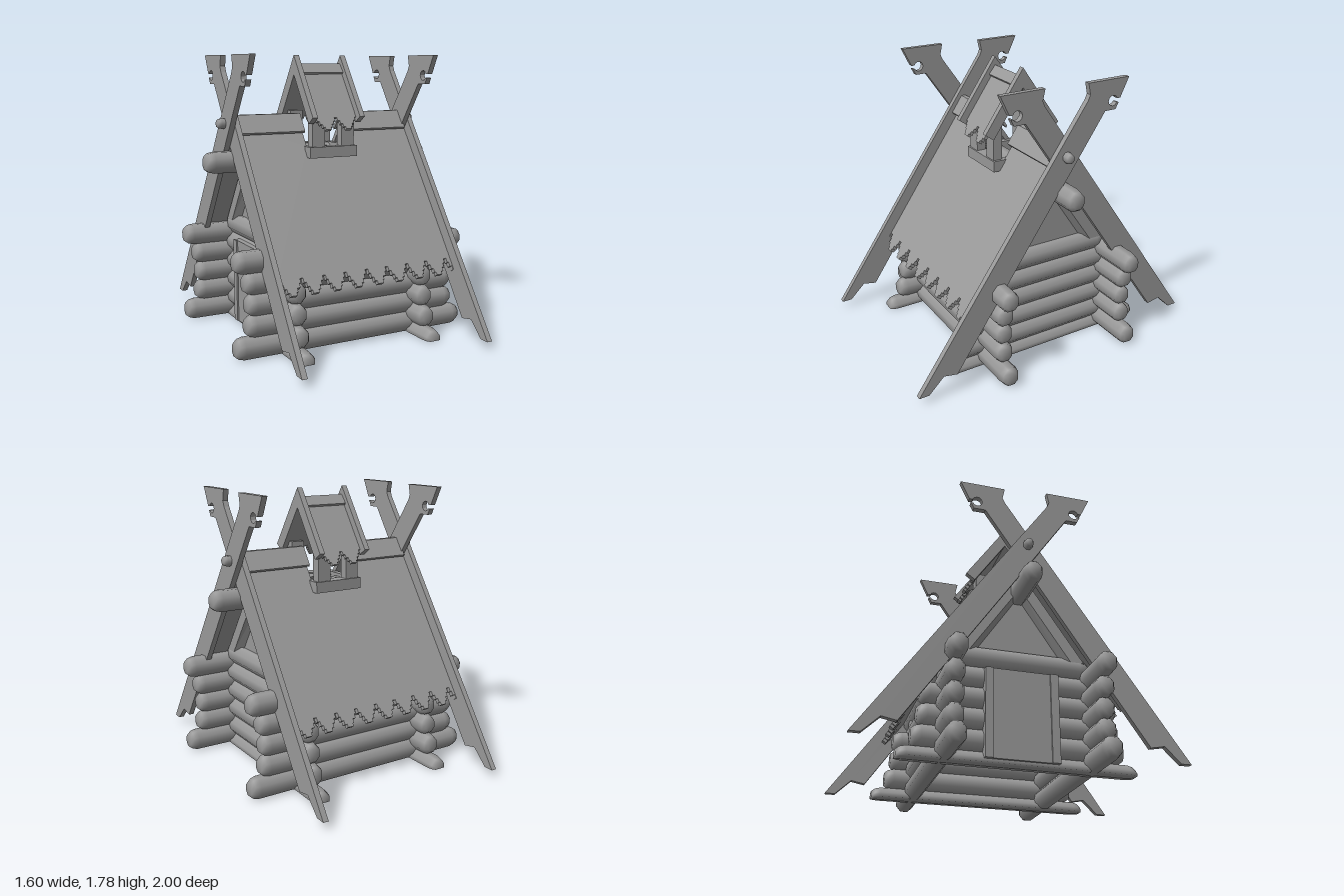
import * as THREE from 'three';

const mat = new THREE.MeshStandardMaterial({ color: 0x999999, side: THREE.DoubleSide });
const SLOPE = 1.44;                       // roof rise per unit of z
const TILT = Math.atan(1 / SLOPE);        // roof lean from the vertical
const SIN = Math.cos(TILT);               // height gained per unit along the slope

function add(parent, name, geometry) {
  const mesh = new THREE.Mesh(geometry, mat);
  mesh.name = name;
  parent.add(mesh);
}

function box(parent, name, x0, x1, y0, y1, z0, z1) {
  const g = new THREE.BoxGeometry(x1 - x0, y1 - y0, z1 - z0);
  g.translate((x0 + x1) / 2, (y0 + y1) / 2, (z0 + z1) / 2);
  add(parent, name, g);
}

const toShape = pts => new THREE.Shape(pts.map(p => new THREE.Vector2(p[0], p[1])));

// Extrude a (z, y) outline along x from x0 to x1
function extrudeX(parent, name, shape, x0, x1, bevel = { bevelEnabled: false }) {
  const g = new THREE.ExtrudeGeometry(shape, { depth: x1 - x0, curveSegments: 5, ...bevel });
  g.rotateY(-Math.PI / 2).translate(x1, 0, 0);
  add(parent, name, g);
}

// Inverted V: the first half-point is the outer apex, the last the inner apex
function chevron(half) {
  const mirrored = half.slice(1, -1).reverse().map(([z, y]) => [-z, y]);
  return toShape([...half, ...mirrored]);
}

// Smooth eight-sided log with rounded ends, running from a to b along an axis; cut flat at the ground
function log(parent, name, axis, a, b, p, y, r = 0.071) {
  const t = r * 0.8;
  const profile = [[0, a], [r * 0.62, a], [r * 0.88, a + t * 0.4], [r, a + t],
    [r, b - t], [r * 0.88, b - t * 0.4], [r * 0.62, b], [0, b]];
  const g = new THREE.LatheGeometry(profile.map(q => new THREE.Vector2(...q)), 8, Math.PI / 8);
  if (axis === 'x') g.rotateZ(-Math.PI / 2).scale(1, 1, 0.88).translate(0, y, p);
  else g.rotateX(Math.PI / 2).scale(0.88, 1, 1).translate(p, y, 0);
  const pos = g.attributes.position;
  for (let i = 0; i < pos.count; i++) pos.setY(i, Math.max(0, pos.getY(i)));
  add(parent, name, g);
}

// Stepped scallops along a lower roof edge, from x0 to x1
function scallops(x0, x1, low, rise) {
  const steps = [[0.07, 1], [0.16, 0.72], [0.27, 0.45], [0.36, 0.2], [0.51, 0]];
  const period = 0.146, pts = [], n = 240;
  let last = null;
  for (let i = 0; i <= n; i++) {
    const x = x0 + ((x1 - x0) * i) / n;
    const u = Math.abs(x / period - Math.round(x / period));
    const y = low + rise * steps.find(s => u < s[0])[1];
    if (last === null) pts.push([x, y]);
    else if (y !== last) pts.push([x, last], [x, y]);
    last = y;
  }
  pts.push([x1, last]);
  return pts;
}

// Sloping slab hung from a ridge height, with its outline given in the slope plane
function slopeSlab(parent, name, outline, ridgeY, thick) {
  const g = new THREE.ExtrudeGeometry(toShape(outline), { depth: thick, bevelEnabled: false });
  g.translate(0, 0, -thick).rotateX(-TILT).translate(0, ridgeY, 0);
  add(parent, name, g);
}

// Crossing gable board with a carved head and a notched foot
function gableBoardShape() {
  const s = new THREE.Shape();
  s.moveTo(1, 0.05);
  [[-0.135, 1.675], [-0.15, 1.71], [-0.135, 1.78], [-0.425, 1.78], [-0.367, 1.66]].forEach(p => s.lineTo(...p));
  s.absarc(-0.315, 1.65, 0.032, Math.PI * 0.9, Math.PI * 1.15, true);
  [[-0.357, 1.635], [-0.337, 1.595], [-0.262, 1.595], [0.746, 0.13], [0.835, 0.147], [0.935, 0.05]]
    .forEach(p => s.lineTo(...p));
  s.closePath();
  return s;
}

// One roof side, facing +z
function roofSide() {
  const side = new THREE.Group();
  side.name = 'roofSide';
  const notch = 0.16 / SIN;
  slopeSlab(side, 'roofSlab', [...scallops(-0.6, 0.63, -1.157, 0.1), [0.63, 0], [0.15, 0], [0.15, -notch],
    [-0.15, -notch], [-0.15, 0], [-0.6, 0]], 1.36, 0.03);
  slopeSlab(side, 'ventRoofSlab', [...scallops(-0.155, 0.155, -0.463, 0.085), [0.155, 0], [-0.155, 0]], 1.7, 0.022);
  const board = gableBoardShape();
  extrudeX(side, 'gableBoard', board, 0.63, 0.665);
  extrudeX(side, 'gableBoard', board, -0.63, -0.595);
  // Vent posts and the beam they stand on
  box(side, 'ventBeam', -0.168, 0.168, 1.135, 1.205, 0.12, 0.2);
  for (const x of [-0.105, 0.105]) box(side, 'ventPost', x - 0.045, x + 0.045, 1.2, 1.42, 0.13, 0.19);
  return side;
}

export function createModel() {
  const model = new THREE.Group();
  model.name = 'logCabin';

  // Wall logs
  const longLogs = [[0.065, 0.8], [0.195, 0.73], [0.325, 0.725], [0.455, 0.74], [0.585, 0.8]];
  const endLogs = [[0, 0.72], [0.13, 0.64], [0.26, 0.61], [0.39, 0.6], [0.52, 0.49], [0.65, 0.44]];
  for (const d of [-0.445, 0.445]) {
    for (const [y, l] of longLogs) log(model, 'longWallLog', 'x', -l, l, d, y);
    for (const [y, l] of endLogs) log(model, 'endWallLog', 'z', -l, l, d, y);
  }

  // Door and its posts, set against the logs of one end wall
  box(model, 'door', -0.52, -0.46, 0.02, 0.57, -0.19, 0.19);
  for (const z of [-0.2, 0.2]) box(model, 'doorPost', -0.53, -0.46, 0.02, 0.57, z - 0.025, z + 0.025);

  // Ridge log and the pins through the crossing boards
  log(model, 'ridgeLog', 'x', -0.8, 0.8, 0, 1.12);
  log(model, 'boardPin', 'x', 0.57, 0.715, 0, 1.36, 0.034);
  log(model, 'boardPin', 'x', -0.715, -0.57, 0, 1.36, 0.034);

  // Gable panels with bevelled rafters under the roof
  const panel = toShape([[0, 1.31], [-0.435, 0.68], [0.435, 0.68]]);
  const rafter = chevron([[0, 1.265], [0.406, 0.68], [0.32, 0.68], [0, 1.142]]);
  const bevel = { bevelEnabled: true, bevelSize: 0.03, bevelThickness: 0.05, bevelSegments: 1 };
  for (const d of [-1, 1]) {
    const c = d * 0.415;
    extrudeX(model, 'gablePanel', panel, c - 0.035, c + 0.035);
    extrudeX(model, 'rafter', rafter, d * 0.44 - 0.01, d * 0.44 + 0.01, bevel);
  }

  // Both roof sides
  for (const turn of [0, Math.PI]) {
    const side = roofSide();
    side.rotation.y = turn;
    model.add(side);
  }

  // Ridge caps on either side of the vent
  const cap = chevron([[0, 1.41], [0.015, 1.41], [0.09, 1.3], [0.081, 1.288], [0, 1.38]]);
  extrudeX(model, 'ridgeCap', cap, -0.61, -0.15);
  extrudeX(model, 'ridgeCap', cap, 0.15, 0.61);

  // Vent: end beams, gable boards and cap
  const ventBoard = chevron([[0, 1.78], [0.267, 1.395], [0.209, 1.354], [0, 1.655]]);
  const ventCap = chevron([[0, 1.725], [0.045, 1.67], [0.037, 1.658], [0, 1.69]]);
  for (const d of [-1, 1]) {
    box(model, 'ventEndBeam', d * 0.145 - 0.02, d * 0.145 + 0.02, 1.135, 1.205, -0.12, 0.12);
    extrudeX(model, 'ventGableBoard', ventBoard, d * 0.168 - 0.018, d * 0.168 + 0.018);
  }
  extrudeX(model, 'ventCap', ventCap, -0.15, 0.15);

  return model;
}
